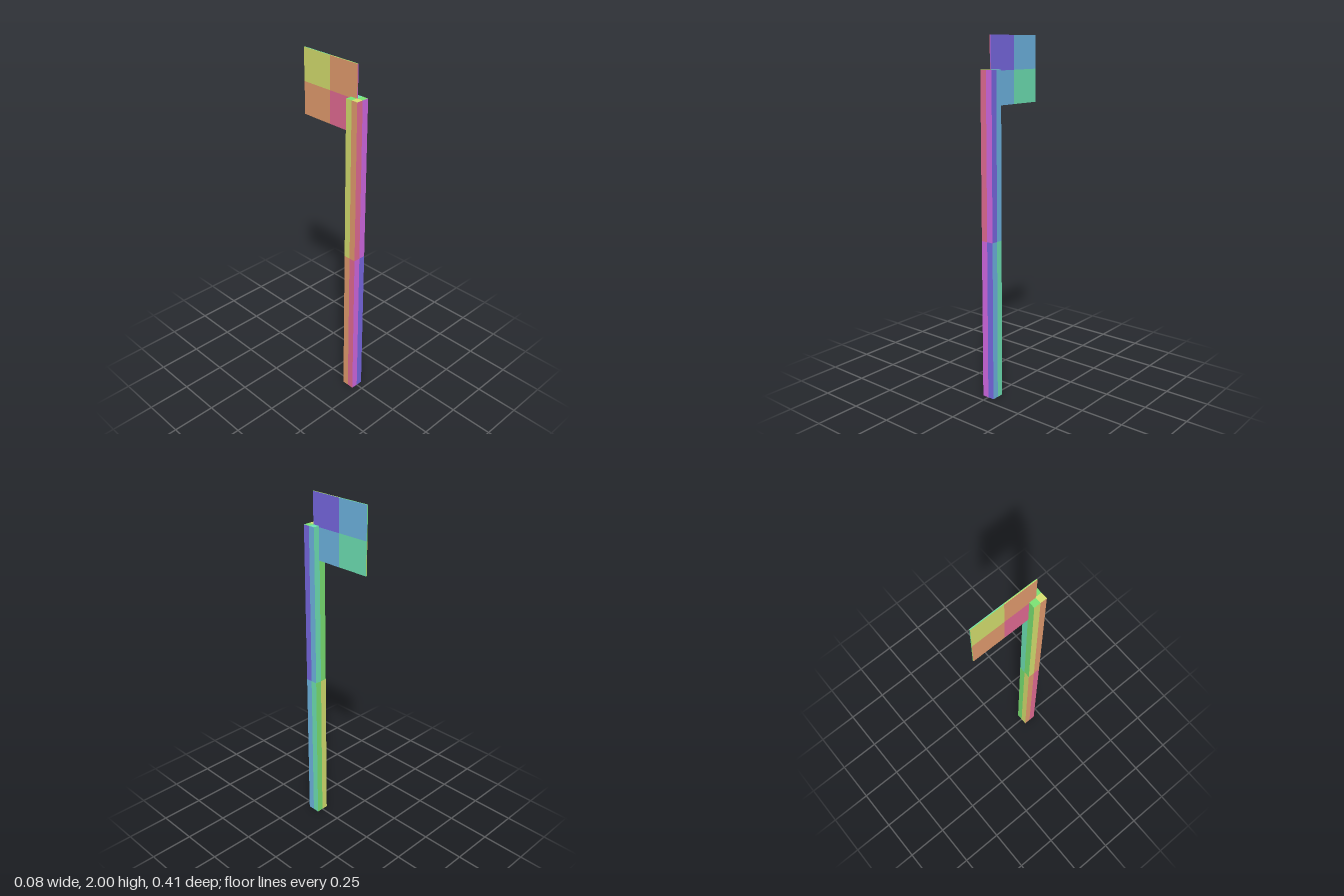
import * as THREE from 'three';

const PALETTE = {
  red: 0xe66d96, magenta: 0xd46ae6, indigo: 0x7a6ae6, blue: 0x70b8e6,
  teal: 0x70e6b8, green: 0x7ce574, yellow: 0xd8e270, orange: 0xe69e70,
};
const NAMES = Object.keys(PALETTE);

// Quadrant colours of each box side: top-left, top-right, bottom-left, bottom-right
const SIDES = [
  ['indigo', 'blue', 'blue', 'teal'],        // +x
  ['yellow', 'orange', 'orange', 'red'],     // -x
  ['green', 'teal', 'yellow', 'green'],      // top
  ['red', 'magenta', 'magenta', 'indigo'],   // bottom
  ['red', 'magenta', 'magenta', 'indigo'],   // front
  ['teal', 'green', 'green', 'yellow'],      // back
];

export function createModel() {
  const materials = NAMES.map((name) => {
    const m = new THREE.MeshStandardMaterial({ color: PALETTE[name] });
    m.name = name;
    return m;
  });

  // Box whose sides are each split into four coloured quadrants
  function quadrantBox(name, min, max) {
    const size = max.map((v, i) => v - min[i]);
    const geometry = new THREE.BoxGeometry(...size, 2, 2, 2);
    geometry.clearGroups();
    SIDES.flat().forEach((c, i) => geometry.addGroup(i * 6, 6, NAMES.indexOf(c)));
    const mesh = new THREE.Mesh(geometry, materials);
    mesh.name = name;
    mesh.position.set(...min.map((v, i) => (v + max[i]) / 2));
    return mesh;
  }

  const model = new THREE.Group();
  model.name = 'flagpole';
  model.add(
    quadrantBox('pole', [-0.038, 0, 0.131], [0.038, 1.825, 0.207]),
    quadrantBox('flag', [-0.003, 1.637, -0.207], [0.003, 2, 0.172]),
  );
  return model;
}
